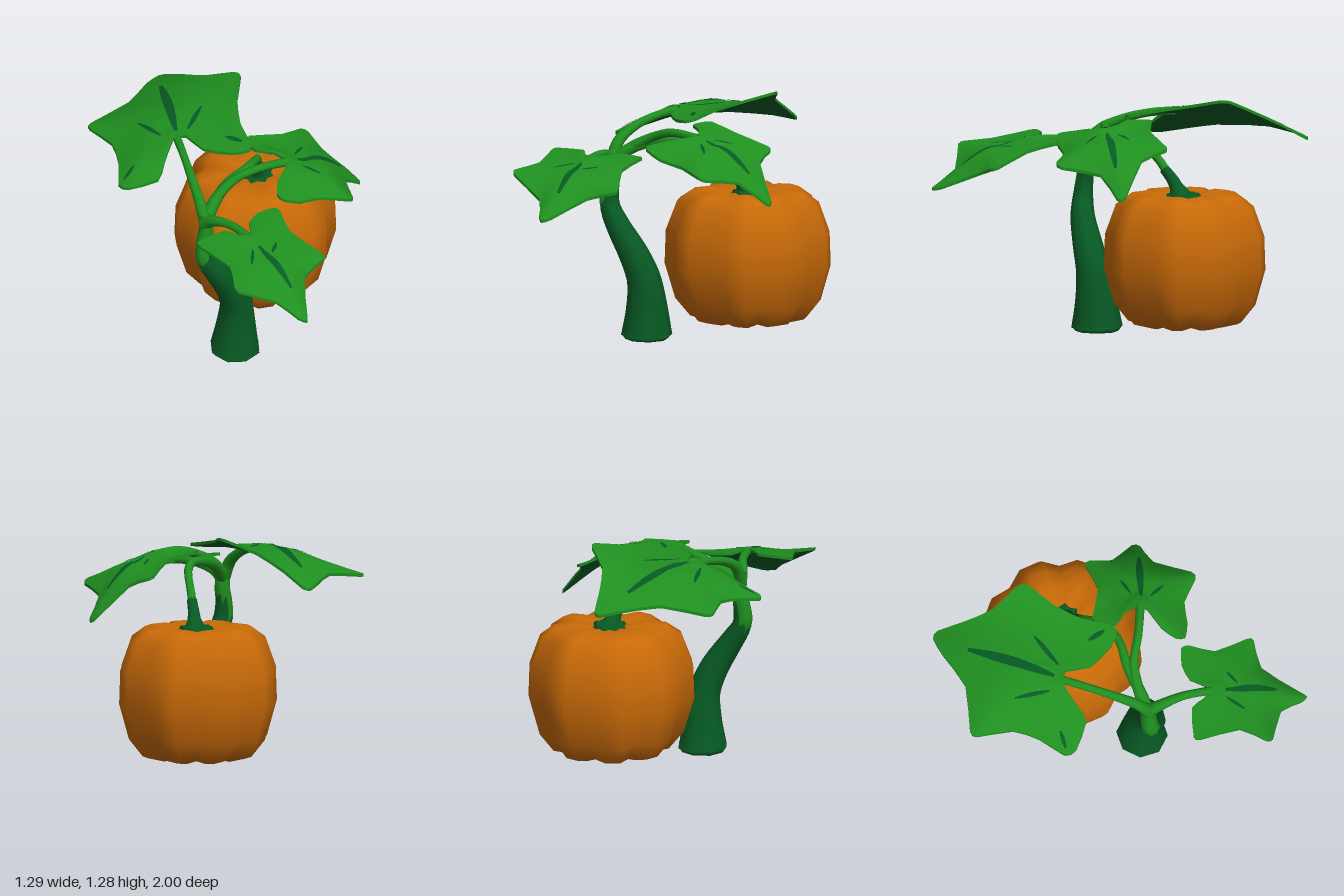
import * as THREE from 'three';
import { mergeVertices } from 'three/addons/utils/BufferGeometryUtils.js';

const mat = (name, color, side = THREE.FrontSide) => {
  const m = new THREE.MeshStandardMaterial({ color, side });
  m.name = name;
  return m;
};
const V = (p) => new THREE.Vector3(...p);

export function createModel() {
  const group = new THREE.Group();
  const orange = mat('pumpkin orange', 0xc86a08);
  const green = mat('leaf green', 0x1f8f20, THREE.DoubleSide);
  const dark = mat('vine dark green', 0x075a24, THREE.DoubleSide);

  const add = (parent, name, geometry, material) => {
    const mesh = new THREE.Mesh(geometry, material);
    mesh.name = name;
    parent.add(mesh);
    return mesh;
  };

  // Weld and smooth a geometry
  const smooth = (g) => {
    g.deleteAttribute('uv');
    g.deleteAttribute('normal');
    const m = mergeVertices(g, 1e-4);
    m.computeVertexNormals();
    return m;
  };

  // Skin a stack of rings (arrays of Vector3)
  const loft = (rings, closed = true) => {
    const n = rings[0].length, idx = [];
    for (let i = 0; i < rings.length - 1; i++) {
      for (let j = 0; j < (closed ? n : n - 1); j++) {
        const k = (j + 1) % n;
        const a = i * n + j, b = i * n + k, c = a + n, d = b + n;
        idx.push(a, c, d, a, d, b);
      }
    }
    const g = new THREE.BufferGeometry().setFromPoints(rings.flat());
    g.setIndex(idx);
    return smooth(g);
  };

  // Tube whose radius runs through a list of values along its length
  const taper = (points, radii, sides = 8, segs = 14) => {
    const curve = new THREE.CatmullRomCurve3(points.map(V));
    const g = new THREE.TubeGeometry(curve, segs, 1, sides);
    const pos = g.attributes.position, p = new THREE.Vector3();
    for (let i = 0; i <= segs; i++) {
      const c = curve.getPointAt(i / segs);
      const f = (i / segs) * (radii.length - 1), k = Math.min(Math.floor(f), radii.length - 2);
      const r = THREE.MathUtils.lerp(radii[k], radii[k + 1], f - k);
      for (let j = 0; j <= sides; j++) {
        const q = i * (sides + 1) + j;
        p.fromBufferAttribute(pos, q).sub(c).multiplyScalar(r).add(c);
        pos.setXYZ(q, p.x, p.y, p.z);
      }
    }
    return smooth(g);
  };

  // Pumpkin: a lathe with every third meridian pulled in as a groove, fuller towards the trunk
  const profile = [[0, 0.125], [0.1, 0.1], [0.2, 0.07], [0.3, 0.095], [0.375, 0.19], [0.428, 0.38],
    [0.422, 0.56], [0.365, 0.72], [0.29, 0.775], [0.2, 0.79], [0.1, 0.772], [0, 0.755]];
  const body = new THREE.LatheGeometry(profile.map((p) => new THREE.Vector2(...p)), 24, Math.PI / 30);
  const bp = body.attributes.position;
  for (let i = 0; i < bp.count; i++) {
    const x = bp.getX(i), y = bp.getY(i), z = bp.getZ(i);
    const groove = Math.floor(i / profile.length) % 3 === 0 ? Math.min(1, Math.hypot(x, z) / 0.25) : 0;
    const facing = Math.max(0, Math.cos(Math.atan2(x, z) + 1.03));
    const s = (1 - 0.1 * groove) * (1 + 0.07 * facing ** 3);
    bp.setXYZ(i, x * s, 0.43 + (y - 0.43) * (1 - 0.05 * groove), z * s);
  }
  add(group, 'pumpkin', smooth(body), orange).position.set(0.21, 0, -0.33);

  // Star-shaped cap and flared stalk on the pumpkin
  const cap = new THREE.CylinderGeometry(0.085, 0.1, 0.025, 16);
  const cp = cap.attributes.position;
  for (let i = 0; i < cp.count; i++) {
    const a = Math.round(Math.atan2(cp.getZ(i), cp.getX(i)) / (Math.PI / 8));
    const s = a % 2 ? 0.8 : 1;
    cp.setXYZ(i, cp.getX(i) * s, cp.getY(i), cp.getZ(i) * s);
  }
  cap.computeVertexNormals();
  add(group, 'pumpkinCap', cap, dark).position.set(0.21, 0.772, -0.32);
  add(group, 'pumpkinStalk', taper([[0.165, 0.91, -0.22], [0.187, 0.85, -0.265], [0.21, 0.765, -0.305]],
    [0.027, 0.03, 0.036, 0.06]), dark);

  // Main trunk on a bevelled foot
  const foot = smooth(new THREE.CylinderGeometry(0.137, 0.115, 0.03, 8));
  add(group, 'trunkFoot', foot, dark).position.set(-0.135, 0.015, 0.12);
  add(group, 'trunk', taper([[-0.135, 0.022, 0.12], [-0.13, 0.16, 0.125], [-0.137, 0.32, 0.14], [-0.182, 0.45, 0.165],
    [-0.272, 0.6, 0.188], [-0.335, 0.7, 0.182], [-0.342, 0.78, 0.173], [-0.33, 0.86, 0.167]],
  [0.137, 0.117, 0.1, 0.088, 0.08, 0.07, 0.06, 0.049, 0.04], 8, 22), dark);
  // The young growth wraps the trunk top lower on its outer side
  add(group, 'trunkTop', taper([[-0.328, 0.66, 0.187], [-0.348, 0.74, 0.178], [-0.342, 0.82, 0.17], [-0.328, 0.89, 0.165],
    [-0.335, 0.97, 0.165], [-0.345, 1.0, 0.165]], [0.045, 0.051, 0.046, 0.043, 0.04, 0.025]), green);

  // Vines from the trunk to the leaves and the pumpkin
  const vines = {
    backVine: [[-0.335, 0.93, 0.17], [-0.34, 1.04, 0.11], [-0.325, 1.11, -0.02], [-0.295, 1.15, -0.18], [-0.27, 1.16, -0.3]],
    frontVine: [[-0.335, 0.93, 0.165], [-0.32, 0.98, 0.22], [-0.27, 1.015, 0.34], [-0.225, 1.015, 0.5]],
    sideVine: [[-0.335, 0.94, 0.165], [-0.25, 1.02, 0.11], [-0.12, 1.09, 0.075], [0.02, 1.13, 0.09], [0.19, 1.12, 0.09]],
    pumpkinVine: [[-0.335, 0.93, 0.165], [-0.26, 1.01, 0.12], [-0.13, 1.06, 0.04], [0.0, 1.075, -0.01],
      [0.1, 1.04, -0.1], [0.15, 0.96, -0.19], [0.17, 0.9, -0.23]],
  };
  for (const [name, pts] of Object.entries(vines)) add(group, name, taper(pts, [0.036, 0.03, 0.024, 0.022, 0.024]), green);

  // Leaf: green top and rim, dark underside, dark veins laid on top
  const ray = new THREE.Raycaster();
  const leaf = (name, centre, outline, veins) => {
    const g = new THREE.Group();
    g.name = name;
    const curve = new THREE.CatmullRomCurve3(outline.map(V), true, 'catmullrom', 0.3);
    const edge = curve.getPoints(outline.length * 2).slice(0, -1);
    const c = V(centre);
    // Inner heights blend the edge and centre heights by nearness, for a soft sheet
    const height = (x, z) => {
      let w = 8 / ((x - c.x) ** 2 + (z - c.z) ** 2 + 0.005), sum = w * c.y;
      for (const e of edge) {
        const k = 1 / ((x - e.x) ** 2 + (z - e.z) ** 2 + 1e-5);
        w += k;
        sum += k * e.y;
      }
      return sum / w;
    };
    const ring = (t, drop) => edge.map((p) => {
      const q = c.clone().lerp(p, t);
      q.y = (t < 1 ? height(q.x, q.z) + 0.04 * t * (1 - t) : p.y) - drop;
      return q;
    });
    const steps = [0, 0.2, 0.4, 0.6, 0.8, 1], low = 0.016;
    const top = add(g, 'leafTop', loft(steps.map((t) => ring(t, 0))), green);
    add(g, 'leafRim', loft([ring(1, 0), ring(1, low)]), green);
    add(g, 'leafUnderside', loft([...steps].reverse().map((t) => ring(t, low))), dark);
    top.updateMatrixWorld();
    const onTop = (x, z) => {
      ray.set(new THREE.Vector3(x, 3, z), new THREE.Vector3(0, -1, 0));
      const hit = ray.intersectObject(top)[0];
      return new THREE.Vector3(x, (hit ? hit.point.y : c.y) + 0.005, z);
    };
    for (const [x0, z0, x1, z1, w] of veins) {
      const len = Math.hypot(x1 - x0, z1 - z0), nx = (z1 - z0) / len, nz = -(x1 - x0) / len;
      const rows = [];
      for (let i = 0; i <= 10; i++) {
        const t = i / 10, h = w * (0.35 + 0.65 * Math.sin(Math.PI * t));
        rows.push([-1, 0, 1].map((s) => onTop(x0 + (x1 - x0) * t + nx * h * s, z0 + (z1 - z0) * t + nz * h * s)));
      }
      add(g, 'vein', loft(rows, false), dark);
    }
    group.add(g);
  };

  leaf('backLeaf', [-0.2, 1.2, -0.47], [
    [-0.04, 1.045, -1], [-0.14, 1.065, -0.94], [-0.31, 1.08, -0.81], [-0.55, 1.05, -0.77], [-0.58, 1.05, -0.73],
    [-0.54, 1.06, -0.54], [-0.57, 1.04, -0.4], [-0.64, 1.01, -0.26], [-0.61, 1.015, -0.2], [-0.455, 1.05, -0.155],
    [-0.39, 1.11, -0.21], [-0.3, 1.18, -0.29], [-0.23, 1.185, -0.28], [-0.19, 1.17, -0.15], [-0.07, 1.17, -0.05],
    [0.02, 1.18, -0.02], [0.05, 1.19, -0.07], [0.06, 1.215, -0.21], [0.12, 1.245, -0.37], [0.21, 1.28, -0.51],
    [0.2, 1.275, -0.57], [0.085, 1.21, -0.69], [0.03, 1.13, -0.85], [0, 1.055, -0.98],
  ], [[-0.26, -0.34, -0.12, -0.81, 0.026], [-0.2, -0.32, -0.05, -0.46, 0.013], [-0.34, -0.36, -0.385, -0.54, 0.011],
    [-0.61, -0.255, -0.53, -0.29, 0.011], [-0.05, -0.17, 0.01, -0.09, 0.014]]);

  leaf('frontLeaf', [-0.2, 0.99, 0.65], [
    [-0.51, 1.03, 0.46], [-0.5, 1.035, 0.42], [-0.34, 1.04, 0.4], [-0.285, 1.035, 0.455], [-0.22, 1.03, 0.49],
    [-0.18, 1.03, 0.38], [-0.1, 1.035, 0.33], [-0.005, 1.03, 0.32], [0.015, 1.03, 0.36], [0.005, 0.99, 0.5],
    [0.11, 0.92, 0.66], [0.11, 0.91, 0.7], [-0.03, 0.87, 0.75], [-0.115, 0.785, 0.95], [-0.14, 0.775, 1],
    [-0.18, 0.79, 0.97], [-0.26, 0.855, 0.87], [-0.46, 0.965, 0.84], [-0.475, 0.98, 0.8], [-0.43, 1.0, 0.66],
  ].reverse(), [[-0.215, 0.57, -0.155, 0.84, 0.02], [-0.165, 0.63, -0.11, 0.57, 0.009], [-0.255, 0.58, -0.31, 0.68, 0.009]]);

  leaf('sideLeaf', [0.3, 1.095, 0.08], [
    [0.05, 1.16, -0.1], [0.085, 1.16, -0.16], [0.27, 1.125, -0.14], [0.42, 1.06, -0.22], [0.455, 1.045, -0.195],
    [0.48, 1.0, -0.08], [0.635, 0.825, 0.015], [0.635, 0.82, 0.06], [0.51, 0.93, 0.14], [0.455, 0.965, 0.345],
    [0.41, 0.985, 0.37], [0.27, 1.01, 0.32], [0.14, 1.04, 0.345], [0.04, 1.085, 0.34], [0.03, 1.095, 0.29],
    [0.075, 1.11, 0.21], [0.165, 1.13, 0.13], [0.18, 1.135, 0.08], [0.14, 1.15, 0.015], [0.06, 1.16, -0.03],
  ].reverse(), [[0.25, 0.09, 0.52, 0.06, 0.02], [0.26, 0.035, 0.335, -0.025, 0.009], [0.255, 0.14, 0.33, 0.205, 0.009]]);

  return group;
}
